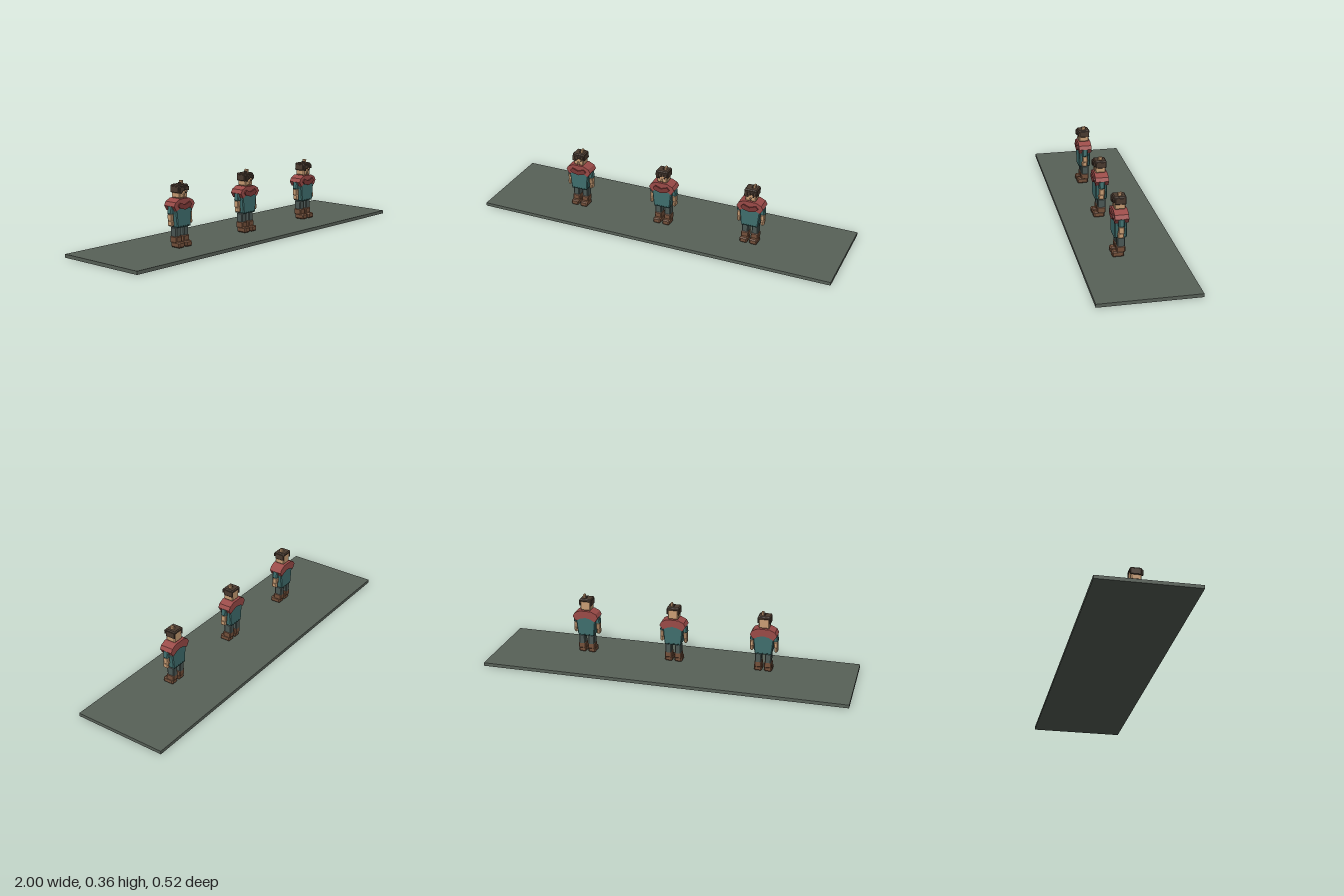
import * as THREE from 'three';
import { ConvexGeometry } from 'three/addons/geometries/ConvexGeometry.js';

const mat = (name, color) => new THREE.MeshStandardMaterial({ name, color, flatShading: true });

// Box with chamfered edges; taper scales the width of the bottom.
function chamferBox(w, h, d, c = 0.004, taper = 1) {
  const pts = [];
  for (const sx of [-1, 1]) for (const sy of [-1, 1]) for (const sz of [-1, 1]) {
    for (let axis = 0; axis < 3; axis++) {
      const inset = [c, c, c];
      inset[axis] = 0;
      const k = sy < 0 ? taper : 1;
      pts.push(new THREE.Vector3(
        sx * (w / 2 - inset[0]) * k, sy * (h / 2 - inset[1]), sz * (d / 2 - inset[2])));
    }
  }
  return new ConvexGeometry(pts);
}

// Flat outline in x/y, extruded from z0 to z1.
function slab(points, z0, z1) {
  const shape = new THREE.Shape(points.map(([x, y]) => new THREE.Vector2(x, y)));
  return new THREE.ExtrudeGeometry(shape, { depth: z1 - z0, bevelEnabled: false }).translate(0, 0, z0);
}

export function createModel() {
  const stone = mat('stone', 0x586158);
  const tunic = mat('tunicTeal', 0x3f6e6d);
  const hem = mat('hemTeal', 0x274745);
  const red = mat('mantleRed', 0x9a4a47);
  const darkRed = mat('collarRed', 0x7c3836);
  const skin = mat('skin', 0xc99d74);
  const hair = mat('hair', 0x4a3a2f);
  const leather = mat('bootLeather', 0x74503a);
  const trouser = mat('trouserGrey', 0x4b5855);
  const dark = mat('eyeDark', 0x241d1a);

  const model = new THREE.Group();
  model.name = 'figureDisplay';

  function add(parent, name, geometry, material, x = 0, y = 0, z = 0) {
    const mesh = new THREE.Mesh(geometry, material);
    mesh.name = name;
    mesh.position.set(x, y, z);
    parent.add(mesh);
    return mesh;
  }

  // Base slab
  add(model, 'base', new THREE.BoxGeometry(2, 0.018, 0.52), stone, 0, 0.009, 0);

  function makeFigure() {
    const g = new THREE.Group();

    for (const s of [-1, 1]) {
      const side = s > 0 ? 'left' : 'right';
      // Legs and boots
      add(g, side + 'Leg', chamferBox(0.034, 0.055, 0.042), trouser, s * 0.027, 0.097, 0.041);
      add(g, side + 'BootShaft', chamferBox(0.04, 0.034, 0.046), leather, s * 0.027, 0.061, 0.043);
      add(g, side + 'Boot', chamferBox(0.042, 0.03, 0.061, 0.006), leather, s * 0.027, 0.036, 0.056);
      // Arms, leaning slightly outward
      const upper = add(g, side + 'Sleeve', chamferBox(0.026, 0.046, 0.031, 0.005), tunic, s * 0.062, 0.216, 0.045);
      upper.rotation.z = s * 0.12;
      add(g, side + 'Forearm', chamferBox(0.02, 0.038, 0.03, 0.004), skin, s * 0.065, 0.178, 0.045);
      add(g, side + 'Hand', chamferBox(0.018, 0.03, 0.032, 0.005), skin, s * 0.066, 0.149, 0.048);
    }

    // Tunic
    add(g, 'tunic', chamferBox(0.118, 0.118, 0.064, 0.005, 0.8), tunic, 0, 0.186, 0.045);
    add(g, 'hem', new THREE.BoxGeometry(0.086, 0.006, 0.063), hem, 0, 0.128, 0.045);

    // Shoulder mantle: sloping top, undercut sides, raised in the middle
    add(g, 'mantle', slab([
      [-0.033, 0.271], [-0.062, 0.257], [-0.073, 0.237], [-0.056, 0.211], [-0.028, 0.226],
      [0, 0.232], [0.028, 0.226], [0.056, 0.211], [0.073, 0.237], [0.062, 0.257], [0.033, 0.271],
    ], 0.007, 0.079), red);
    add(g, 'collarDrape', slab([
      [-0.034, 0.253], [-0.048, 0.238], [-0.034, 0.224], [0, 0.215],
      [0.034, 0.224], [0.048, 0.238], [0.034, 0.253], [0, 0.24],
    ], 0.079, 0.086), darkRed);
    add(g, 'neck', new THREE.BoxGeometry(0.03, 0.02, 0.034), skin, 0, 0.27, 0.045);

    // Head
    add(g, 'head', chamferBox(0.058, 0.06, 0.057, 0.005), skin, 0, 0.302, 0.0445);
    add(g, 'nose', chamferBox(0.008, 0.009, 0.008, 0.002), skin, 0.001, 0.291, 0.075);
    add(g, 'mouth', new THREE.BoxGeometry(0.016, 0.003, 0.002), leather, 0, 0.281, 0.073);
    for (const s of [-1, 1]) {
      add(g, 'eye', new THREE.BoxGeometry(0.008, 0.007, 0.002), dark, s * 0.015, 0.3, 0.0735);
      add(g, 'sideHair', chamferBox(0.008, 0.035, 0.058, 0.003), hair, s * 0.031, 0.317, 0.042);
    }

    // Hair cap, uneven fringe and tuft
    add(g, 'hairCap', chamferBox(0.068, 0.018, 0.064, 0.005), hair, 0, 0.332, 0.0435);
    [[-0.024, 0.031], [-0.008, 0.022], [0.008, 0.017], [0.024, 0.021]].forEach(([x, h]) =>
      add(g, 'fringe', chamferBox(0.017, h, 0.01, 0.002), hair, x, 0.331 - h / 2, 0.0765));
    const tuft = add(g, 'tuft', chamferBox(0.012, 0.024, 0.021, 0.002), skin, 0.012, 0.347, 0.043);
    tuft.rotation.z = -0.15;
    add(g, 'tuftStrand', chamferBox(0.009, 0.012, 0.018, 0.002), hair, 0.002, 0.344, 0.044);
    return g;
  }

  // Three figures in a row
  [-0.5, 0, 0.5].forEach((x, i) => {
    const figure = makeFigure();
    figure.name = 'figure' + (i + 1);
    figure.position.x = x - 0.002;
    model.add(figure);
  });
  return model;
}
